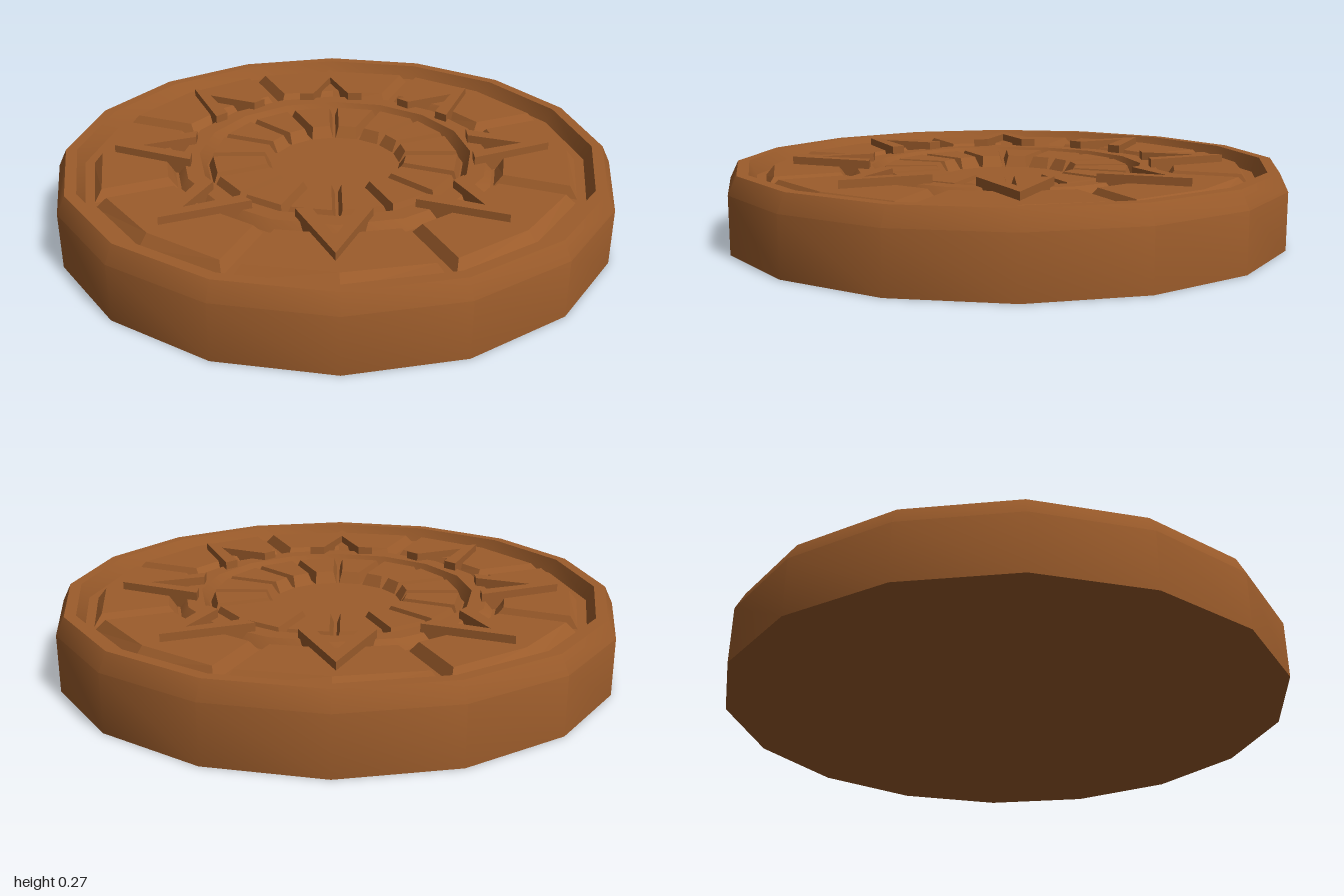
import * as THREE from 'three';
import { toCreasedNormals, mergeGeometries } from 'three/addons/utils/BufferGeometryUtils.js';

const SIDES = 16;
const STEP = (Math.PI * 2) / SIDES;

// Point at radius r beside the spoke at angle a, shifted sideways by d
function beside(r, a, d) {
  return [r * Math.sin(a) + d * Math.cos(a), r * Math.cos(a) - d * Math.sin(a)];
}

// Outline of a panel between two spokes, counter-clockwise from above
function outline(a0, a1, rOut, rIn, gap) {
  const mid = (a0 + a1) / 2;
  const kink = a1 - a0 > STEP * 1.5;
  const pts = [];
  if (kink) pts.push(beside(rOut, mid, 0));
  pts.push(beside(rOut, a1, -gap), beside(rIn, a1, -gap));
  if (kink) pts.push(beside(rIn, mid, 0));
  pts.push(beside(rIn, a0, gap), beside(rOut, a0, gap));
  return pts;
}

// Panel with sloped sides between a lower and an upper outline
function bevelledPanel(low, high, y0, y1) {
  const pos = [];
  const L = (i) => [low[i][0], y0, low[i][1]];
  const H = (i) => [high[i][0], y1, high[i][1]];
  const n = low.length;
  for (let i = 0; i < n; i++) {
    const j = (i + 1) % n;
    pos.push(...L(i), ...L(j), ...H(j), ...L(i), ...H(j), ...H(i));
    if (i > 0 && i < n - 1) pos.push(...H(0), ...H(i), ...H(j));
  }
  const geo = new THREE.BufferGeometry();
  geo.setAttribute('position', new THREE.Float32BufferAttribute(pos, 3));
  geo.computeVertexNormals();
  return geo;
}

// Circle of equal panels separated by grooves
function panelCircle(count, start, outer, inner, y0, y1, gaps) {
  const parts = [];
  const span = (Math.PI * 2) / count;
  for (let i = 0; i < count; i++) {
    const a0 = start + i * span;
    const a1 = a0 + span;
    parts.push(bevelledPanel(
      outline(a0, a1, outer[0], inner[0], gaps[0]),
      outline(a0, a1, outer[1], inner[1], gaps[1]), y0, y1));
  }
  return mergeGeometries(parts);
}

export function createModel() {
  const group = new THREE.Group();
  group.name = 'carvedDisc';
  const wood = new THREE.MeshStandardMaterial({ color: 0x9c5c2b });
  const add = (name, geometry) => {
    const mesh = new THREE.Mesh(geometry, wood);
    mesh.name = name;
    group.add(mesh);
    return mesh;
  };

  // Sixteen-sided body: chamfered rim, sunken channels, raised middle ring
  const profile = [
    [0, 0], [1, 0], [1, 0.2], [0.97, 0.262], [0.93, 0.262], [0.905, 0.21],
    [0.6, 0.21], [0.575, 0.21], [0.55, 0.245], [0.49, 0.245], [0.465, 0.2],
    [0.25, 0.2], [0, 0.2],
  ].map(([r, y]) => new THREE.Vector2(r, y));
  const body = new THREE.LatheGeometry(profile, SIDES);
  add('body', toCreasedNormals(body, 0.45));

  // Eight broad outer panels
  add('outerPanels', panelCircle(8, STEP, [0.875, 0.84], [0.58, 0.61],
    0.205, 0.247, [0.012, 0.036]));

  // Sixteen narrow wedges round the sunken centre
  add('innerWedges', panelCircle(16, 0, [0.46, 0.44], [0.23, 0.255],
    0.195, 0.24, [0.004, 0.017]));

  // Eight open pointed arrowheads
  const shape = new THREE.Shape([
    [0, 0.785], [-0.125, 0.5], [-0.07, 0.5], [0, 0.685], [0.07, 0.5], [0.125, 0.5],
  ].map(([x, y]) => new THREE.Vector2(x, y)));
  const arrow = new THREE.ExtrudeGeometry(shape, { depth: 0.062, bevelEnabled: false });
  arrow.rotateX(-Math.PI / 2);
  arrow.translate(0, 0.212, 0);
  const points = new THREE.Group();
  points.name = 'starPoints';
  points.position.z = -0.015;
  for (let i = 0; i < 8; i++) {
    const mesh = new THREE.Mesh(arrow, wood);
    mesh.name = 'starPoint';
    mesh.rotation.y = i * STEP * 2;
    points.add(mesh);
  }
  group.add(points);
  return group;
}
